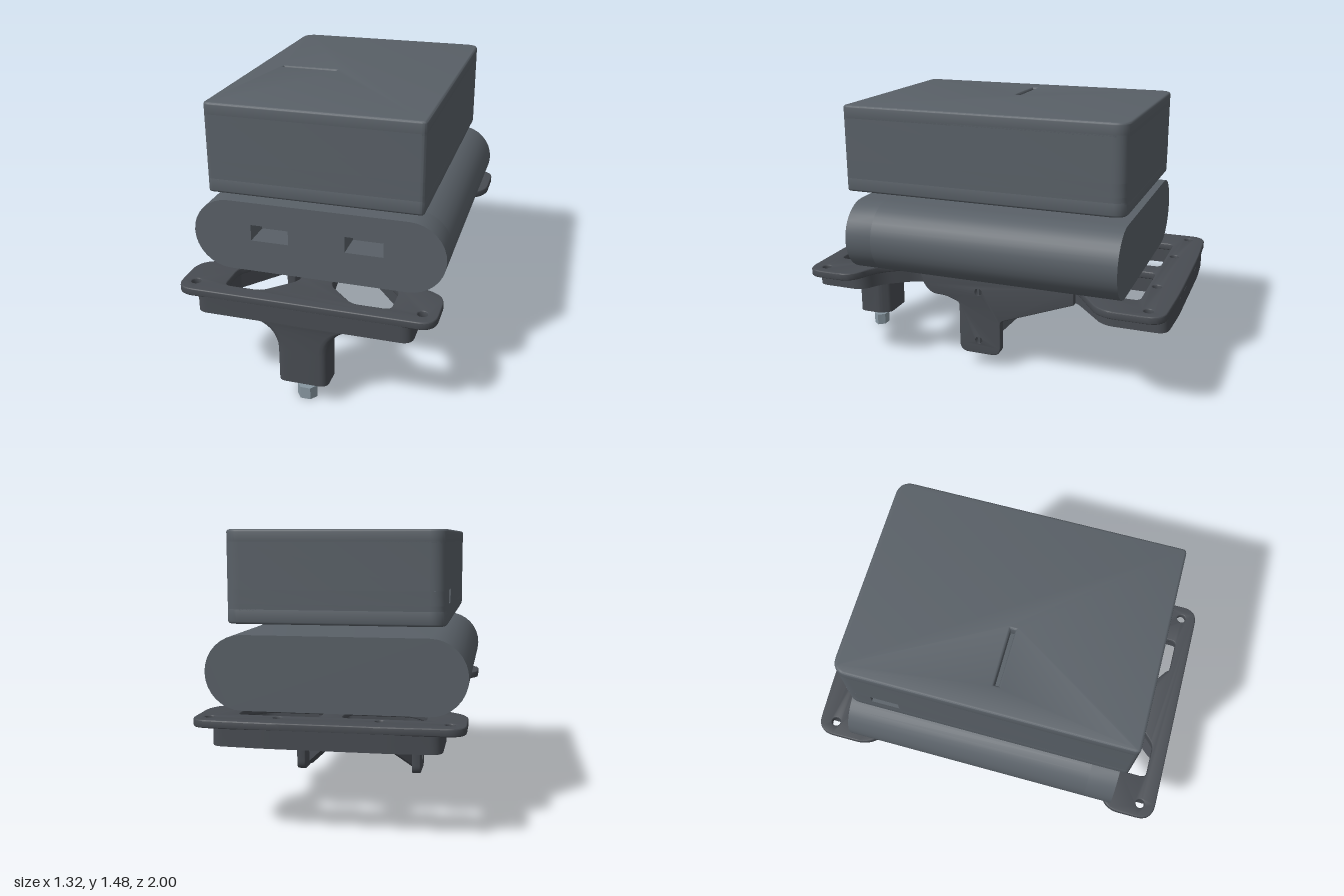
import * as THREE from 'three';
import { toCreasedNormals } from 'three/addons/utils/BufferGeometryUtils.js';

const material = (color) => new THREE.MeshStandardMaterial({ color });

// Closed polygon with rounded corners; a point may carry its own radius as third value
function rounded(points, radius = 0, Type = THREE.Shape) {
  const shape = new Type();
  const v = points.map((p) => new THREE.Vector2(p[0], p[1]));
  const n = v.length;
  v.forEach((p, i) => {
    const a = v[(i + n - 1) % n], b = v[(i + 1) % n];
    const r = Math.min(points[i][2] ?? radius, p.distanceTo(a) * 0.49, p.distanceTo(b) * 0.49);
    const s = p.clone().add(a.clone().sub(p).setLength(r));
    const e = p.clone().add(b.clone().sub(p).setLength(r));
    if (i === 0) shape.moveTo(s.x, s.y); else shape.lineTo(s.x, s.y);
    if (r > 0) shape.quadraticCurveTo(p.x, p.y, e.x, e.y);
  });
  shape.closePath();
  return shape;
}

const circle = (x, y, r) => new THREE.Path().absarc(x, y, r, 0, Math.PI * 2, true);
const flipZ = (pts) => pts.map(([x, z, ...r]) => [x, -z, ...r]);
const mirrorX = (pts) => pts.map(([x, z, ...r]) => [-x, z, ...r]);
const symmetric = (half) => [...half, ...mirrorX(half).reverse()];
const rect = (x0, x1, y0, y1) => [[x0, y0], [x1, y0], [x1, y1], [x0, y1]];

function extrude(shape, depth, bevel = 0) {
  const geo = new THREE.ExtrudeGeometry(shape, {
    depth: depth - 2 * bevel, curveSegments: 8, bevelEnabled: bevel > 0,
    bevelThickness: bevel, bevelSize: bevel, bevelOffset: -bevel, bevelSegments: 3,
  });
  geo.translate(0, 0, bevel);
  return toCreasedNormals(geo, 0.6);
}

// Horizontal slab from an outline given as [x, z]
function slab(points, radius, holes, y0, y1, bevel = 0) {
  const shape = rounded(flipZ(points), radius);
  shape.holes.push(...holes);
  return extrude(shape, y1 - y0, bevel).rotateX(-Math.PI / 2).translate(0, y0, 0);
}

// Skin over horizontal rings of equal point count, closed at both ends
function loft(rings) {
  const n = rings[0].length, index = [];
  const pos = rings.flat(2);
  for (let k = 0; k < rings.length - 1; k++) {
    for (let i = 0; i < n; i++) {
      const a = k * n + i, b = k * n + (i + 1) % n;
      index.push(a, a + n, b, b, a + n, b + n);
    }
  }
  const top = (rings.length - 1) * n;
  const flat = rings[0].map((p) => new THREE.Vector2(p[0], -p[2]));
  for (const [a, b, c] of THREE.ShapeUtils.triangulateShape(flat, [])) {
    index.push(a, c, b, top + a, top + b, top + c);
  }
  const geo = new THREE.BufferGeometry();
  geo.setAttribute('position', new THREE.Float32BufferAttribute(pos, 3));
  geo.setIndex(index);
  return toCreasedNormals(geo, 0.6);
}

export function createModel() {
  const model = new THREE.Group();
  const caseMat = material(0x596067), frameMat = material(0x484c52), metalMat = material(0x8796a0);
  frameMat.side = THREE.DoubleSide;
  const group = (name) => {
    const g = new THREE.Group();
    g.name = name;
    model.add(g);
    return g;
  };
  const add = (parent, name, geo, mat) => {
    const mesh = new THREE.Mesh(geo, mat);
    mesh.name = name;
    parent.add(mesh);
    return mesh;
  };

  // Upper case: stacked slabs, with a card slot on top and a port in the -x side
  const upperCase = group('upperCase');
  const box = [[-0.55, 0.78, 0.025], [0.55, 0.78, 0.025], [0.55, -0.755, 0.08], [-0.55, -0.755, 0.08]];
  const notched = [...box, [-0.55, -0.6, 0], [-0.47, -0.6, 0], [-0.47, -0.45, 0], [-0.55, -0.45, 0]];
  const slot = rounded(rect(-0.408, -0.108, -0.052, -0.028), 0, THREE.Path);
  add(upperCase, 'caseBottom', slab(box, 0, [], 1.015, 1.1, 0.012), caseMat);
  add(upperCase, 'caseLowerWall', slab(box, 0, [], 1.08, 1.115), caseMat);
  add(upperCase, 'casePortWall', slab(notched, 0, [], 1.115, 1.185), caseMat);
  add(upperCase, 'caseUpperWall', slab(box, 0, [], 1.185, 1.42), caseMat);
  add(upperCase, 'caseLid', slab(box, 0, [slot], 1.4, 1.48, 0.012), caseMat);

  // Battery pack: stadium section with two sockets in the front
  const battery = group('batteryPack');
  const stadium = () => new THREE.Shape()
    .absarc(0.47, 0.768, 0.192, -Math.PI / 2, Math.PI / 2)
    .absarc(-0.47, 0.768, 0.192, Math.PI / 2, Math.PI * 1.5);
  const front = stadium();
  for (const x of [-0.35, 0.147]) {
    front.holes.push(rounded(rect(x, x + 0.2, 0.75, 0.837), 0, THREE.Path));
  }
  add(battery, 'batteryBody', extrude(stadium(), 1.34).translate(0, 0, -0.75), caseMat);
  add(battery, 'batterySockets', extrude(front, 0.15).translate(0, 0, 0.59), caseMat);

  // Mounting frame: top flange and a narrower rib layer sharing the same openings
  const frame = group('mountingFrame');
  const outline = (ear, waist) => symmetric([
    [ear, 1], [ear, 0.72], [waist + 0.13, 0.66], [waist, 0.48],
    [waist, -0.45], [ear, -0.66], [ear, -0.985], [0.3, -1],
  ]);
  const openings = [
    [[0.43, 0.74], [0.43, 0.915], [0.235, 0.915], [0.09, 0.775], [0.06, 0.52], [0.22, 0.48]],
    [[0.05, 0.4], [0.27, 0.4], [0.27, 0.02], [0.05, 0.02]],
    [[0.05, -0.08], [0.27, -0.08], [0.27, -0.48], [0.05, -0.48]],
    [[0.055, -0.825], [0.465, -0.825], [0.465, -0.68], [0.36, -0.58], [0.055, -0.58]],
  ];
  const cutouts = (scale) => openings.flatMap((pts) => {
    const cx = pts.reduce((s, p) => s + p[0], 0) / pts.length;
    const cz = pts.reduce((s, p) => s + p[1], 0) / pts.length;
    const grown = pts.map(([x, z]) => [cx + (x - cx) * scale, cz + (z - cz) * scale]);
    return [grown, mirrorX(grown)].map((p) => rounded(flipZ(p), 0.035, THREE.Path));
  });
  const screwHoles = [-1, 1].flatMap((s) => [
    circle(s * 0.585, 0.895, 0.025), circle(s * 0.25, 0.87, 0.025), circle(s * 0.585, -0.915, 0.025),
  ]);
  add(frame, 'flange', slab(outline(0.662, 0.365), 0.09, [...cutouts(1), ...screwHoles], 0.535, 0.575, 0.006), frameMat);
  add(frame, 'ribs', slab(outline(0.555, 0.315), 0.06, cutouts(1.1), 0.45, 0.54), frameMat);

  // Side legs: flat plate with gusset in its own plane, braced by a diagonal web
  const legProfile = [
    [-0.03, 0.08, 0.055], [0.215, 0.08, 0.055], [0.215, 0.375, 0.02], [0.3, 0.405, 0.03],
    [0.38, 0.405, 0.04], [0.43, 0.45, 0.03], [0.46, 0.54, 0], [-0.45, 0.54, 0], [-0.45, 0.45, 0], [-0.03, 0.29, 0.02],
  ];
  for (const side of [-1, 1]) {
    const legs = group(side > 0 ? 'leftLeg' : 'rightLeg');
    const shape = rounded(mirrorX(legProfile));
    shape.holes.push(circle(-0.1, 0.16, 0.027), circle(-0.1, 0.45, 0.027));
    add(legs, 'legPlate', extrude(shape, 0.05, 0.005).rotateY(Math.PI / 2)
      .translate(side > 0 ? 0.315 : -0.365, 0, 0), frameMat);
    const web = rounded([[0, 0.08], [0.46, 0.405], [0.46, 0.54], [0, 0.54]]);
    add(legs, 'diagonalWeb', extrude(web, 0.05).translate(0, 0, -0.025)
      .rotateY(side > 0 ? Math.PI * 0.75 : Math.PI * 0.25).translate(side * 0.325, 0, 0.12), frameMat);
  }

  // Front pillar flaring into the frame
  const ring = (y, off) => {
    const hx = 0.13 + off, w = 0.13 - 0.3 * off;
    const pts = rounded(flipZ(symmetric([
      [hx, 1, 0.05], [hx, 0.91, 0.02], [w, 0.86 - 0.5 * off, 0.02], [w * 0.7, 0.8 - off, 0.02],
    ]))).getPoints(5);
    if (pts[0].distanceTo(pts[pts.length - 1]) < 1e-6) pts.pop();
    return (THREE.ShapeUtils.isClockWise(pts) ? pts : pts.reverse()).map((p) => [p.x, y, -p.y]);
  };
  const rings = [ring(0.12, 0)];
  for (let i = 0; i <= 8; i++) {
    const a = (i / 8) * Math.PI / 2;
    rings.push(ring(0.3 + 0.155 * Math.sin(a), 0.15 * (1 - Math.cos(a))));
  }
  const pillar = group('frontPillar');
  add(pillar, 'pillarBody', loft(rings), frameMat);

  // Fastener under the pillar: nut, thin stem and head
  for (const [name, r, y0, y1, depth, sides] of [
    ['nut', 0.065, 0.088, 0.13, 0.84, 6], ['stem', 0.008, 0.06, 0.09, 1, 12], ['screwHead', 0.053, 0, 0.066, 0.8, 6],
  ]) {
    const geo = new THREE.CylinderGeometry(r, r, y1 - y0, sides).rotateY(Math.PI / 6);
    const mesh = add(pillar, name, toCreasedNormals(geo, 0.7), metalMat);
    mesh.scale.z = depth;
    mesh.position.set(0, (y0 + y1) / 2, name === 'nut' ? 0.907 : 0.922);
  }
  return model;
}
